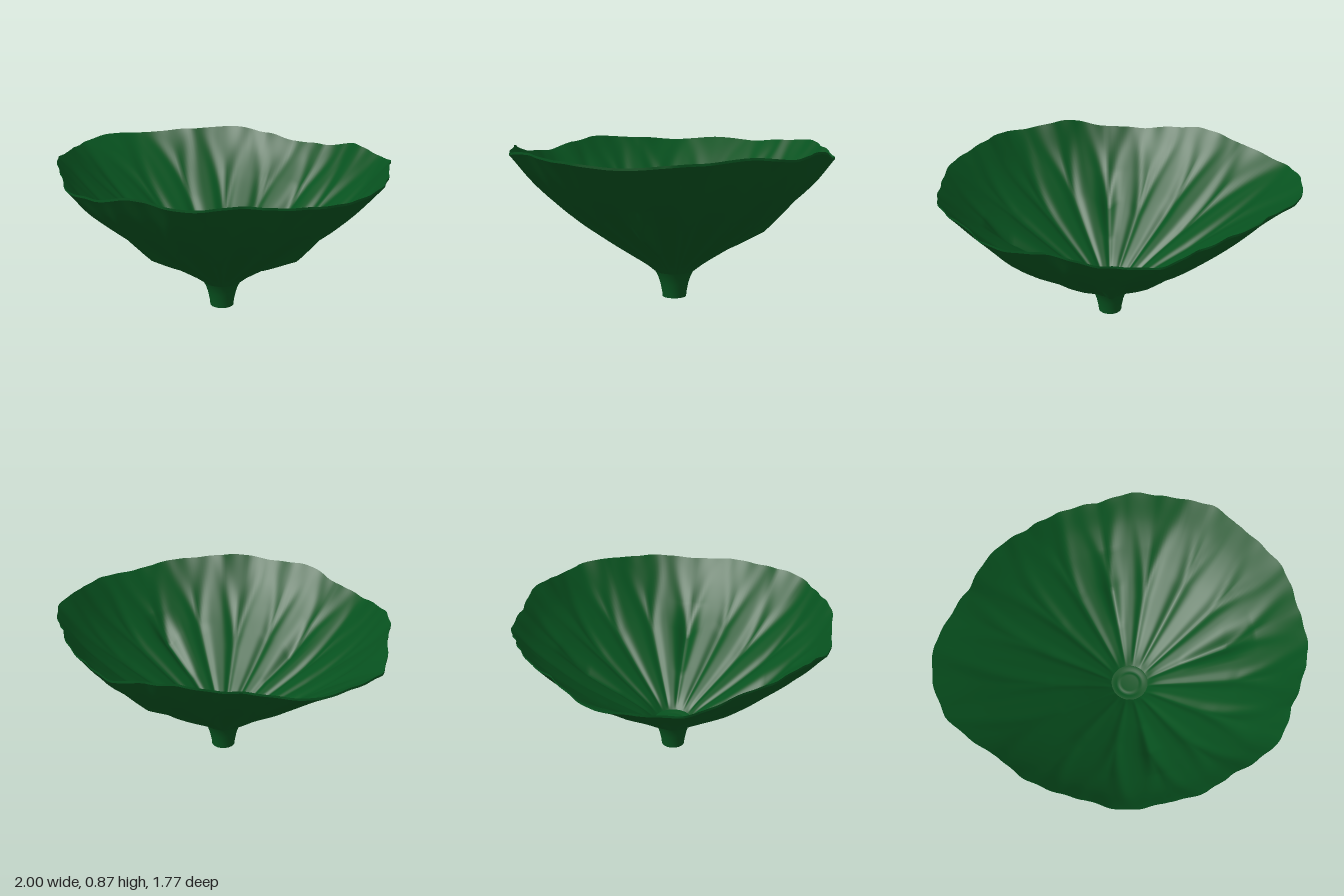
import * as THREE from 'three';

const CX = 0.07; // stem axis, slightly off centre
const DEG = 180 / Math.PI;
const THICK = 0.012;

// Rim outline, mirrored front to back: [angle from +x in degrees, radius]
const RIM_R = [[0, .93], [15, .944], [24, .927], [37, .91], [48, .94], [58, .915], [68, .888], [78, .9], [90, .88],
  [105, .902], [118, .888], [128, .908], [138, .928], [149, .932], [159, .988], [169, 1.055], [180, 1.07]];
// Rim height: [angle, y]
const RIM_Y = [[0, .82], [22, .842], [40, .862], [56, .842], [72, .862], [90, .808], [105, .795], [118, .835],
  [130, .862], [149, .845], [166, .822], [180, .837]];

// Underside cross-sections [radius, y] towards the right, front/back and left
const SECTIONS = [
  [[.11, .15], [.18, .205], [.35, .318], [.57, .475], [.69, .57], [.8, .68], [.93, .83]],
  [[.11, .15], [.19, .21], [.35, .315], [.52, .443], [.66, .56], [.79, .69], [.89, .83]],
  [[.11, .15], [.17, .19], [.31, .295], [.48, .415], [.72, .587], [.9, .72], [1.07, .84]],
];

// Lookup in a sorted [key, value] table, linear or eased
function lookup(table, key, ease) {
  let i = 0;
  while (i < table.length - 2 && key > table[i + 1][0]) i++;
  const [a, b] = [table[i], table[i + 1]];
  const f = (key - a[0]) / (b[0] - a[0]);
  return a[1] + (b[1] - a[1]) * (ease ? f * f * (3 - 2 * f) : f);
}

// Soft ridge around an angular vein line
const ridge = (dist, width) => Math.exp(-(dist * dist) / (width * width));

// Vein relief: 16 main veins that fork halfway up, valleys raised between them;
// each vein has a keel below its fork, deepest at the right, front and back
function relief(angle, t, depth) {
  const step = Math.PI / 8;
  const n = Math.round(angle / step);
  const k = n % 16, d = angle - n * step;
  const forkAt = 0.5 + 0.07 * Math.sin(k * 2.3);
  const spread = Math.max(0, t - forkAt) * 0.3;
  const width = 0.085 - 0.04 * t;
  const v = Math.max(ridge(d - spread, width), ridge(d + spread, width));
  const keel = k === 0 ? 0.055 : k === 4 || k === 12 ? 0.04 : 0.008;
  const fin = keel * ridge(d, 0.1) * Math.max(0, 1 - Math.abs(t - 0.5) / 0.2);
  return depth * Math.sin(Math.PI * t) * (1 - v) - fin;
}

// Blend the nearest cross-sections and fit them to the rim at this angle
function sectionAt(angle) {
  const deg = Math.abs(angle > Math.PI ? angle - 2 * Math.PI : angle) * DEG;
  const s = deg < 90 ? 0 : 1;
  const f = THREE.MathUtils.smoothstep(deg, s * 90, s * 90 + 90);
  const pts = SECTIONS[s].map((p, j) => {
    const q = SECTIONS[s + 1][j];
    return new THREE.Vector3(p[0] + (q[0] - p[0]) * f, p[1] + (q[1] - p[1]) * f, 0);
  });
  const end = pts[pts.length - 1];
  const curve = new THREE.CatmullRomCurve3(pts, false, 'catmullrom', 0.5);
  const scale = lookup(RIM_R, deg, false) / end.x - 1;
  const rise = lookup(RIM_Y, deg, true) - end.y;
  return (t) => {
    const p = curve.getPoint(t);
    return p.set(p.x * (1 + scale * t * t), p.y + rise * t * t * t, 0);
  };
}

// Point on the leaf: lift raises the surface, depth is the vein relief
function leafPoint(section, angle, t, lift, depth) {
  const p = section(t);
  const r = p.x + 0.003 * Math.pow(t, 8) * Math.sin(angle * 37);
  return [CX + r * Math.cos(angle), p.y + lift + relief(angle, t, depth), r * Math.sin(angle)];
}

// Closed ring grid from fn(section, angle, v), facing down or up
function ringGrid(nv, faceUp, fn) {
  const nu = 320, row = nv + 1, pos = [], idx = [];
  for (let i = 0; i < nu; i++) {
    const angle = (i / nu) * Math.PI * 2, section = sectionAt(angle);
    for (let j = 0; j <= nv; j++) pos.push(...fn(section, angle, j / nv));
    for (let j = 0; j < nv; j++) {
      const a = i * row + j, b = ((i + 1) % nu) * row + j;
      if (faceUp) idx.push(a, b, a + 1, b, b + 1, a + 1);
      else idx.push(a, a + 1, b, b, a + 1, b + 1);
    }
  }
  const g = new THREE.BufferGeometry();
  g.setAttribute('position', new THREE.Float32BufferAttribute(pos, 3));
  g.setIndex(idx);
  g.computeVertexNormals();
  return g;
}

export function createModel() {
  const group = new THREE.Group();
  group.name = 'funnelLeaf';
  const green = new THREE.MeshStandardMaterial({ color: 0x07521f, side: THREE.DoubleSide });
  green.name = 'leafGreen';

  const add = (name, geometry, x = 0) => {
    const mesh = new THREE.Mesh(geometry, green);
    mesh.name = name;
    mesh.position.x = x;
    group.add(mesh);
  };
  const lathe = (points) => new THREE.LatheGeometry(points.map(([r, y]) => new THREE.Vector2(r, y)), 48);

  // thin leaf: ribbed underside, softer upper side and the rim edge between
  add('leafUnderside', ringGrid(60, false, (s, a, t) => leafPoint(s, a, t, 0, 0.022)));
  add('leafUpperSide', ringGrid(60, true, (s, a, t) => leafPoint(s, a, t, THICK, 0.02)));
  add('leafRim', ringGrid(1, false, (s, a, v) => leafPoint(s, a, 1, v * THICK, 0)));
  // flared stem with a hollow lower end
  add('stem', lathe([[.068, 0], [.071, .03], [.081, .08], [.094, .12], [.11, .15]]), CX);
  add('stemEnd', lathe([[.045, 0], [.068, 0]]), CX);
  add('stemHollow', lathe([[0, .1], [.045, .1], [.045, 0]]), CX);
  // ringed disc where the veins meet
  add('centreDisc', lathe([[0, .158], [.05, .158], [.057, .161], [.064, .157], [.08, .157], [.09, .162], [.11, .162]]), CX);
  return group;
}
